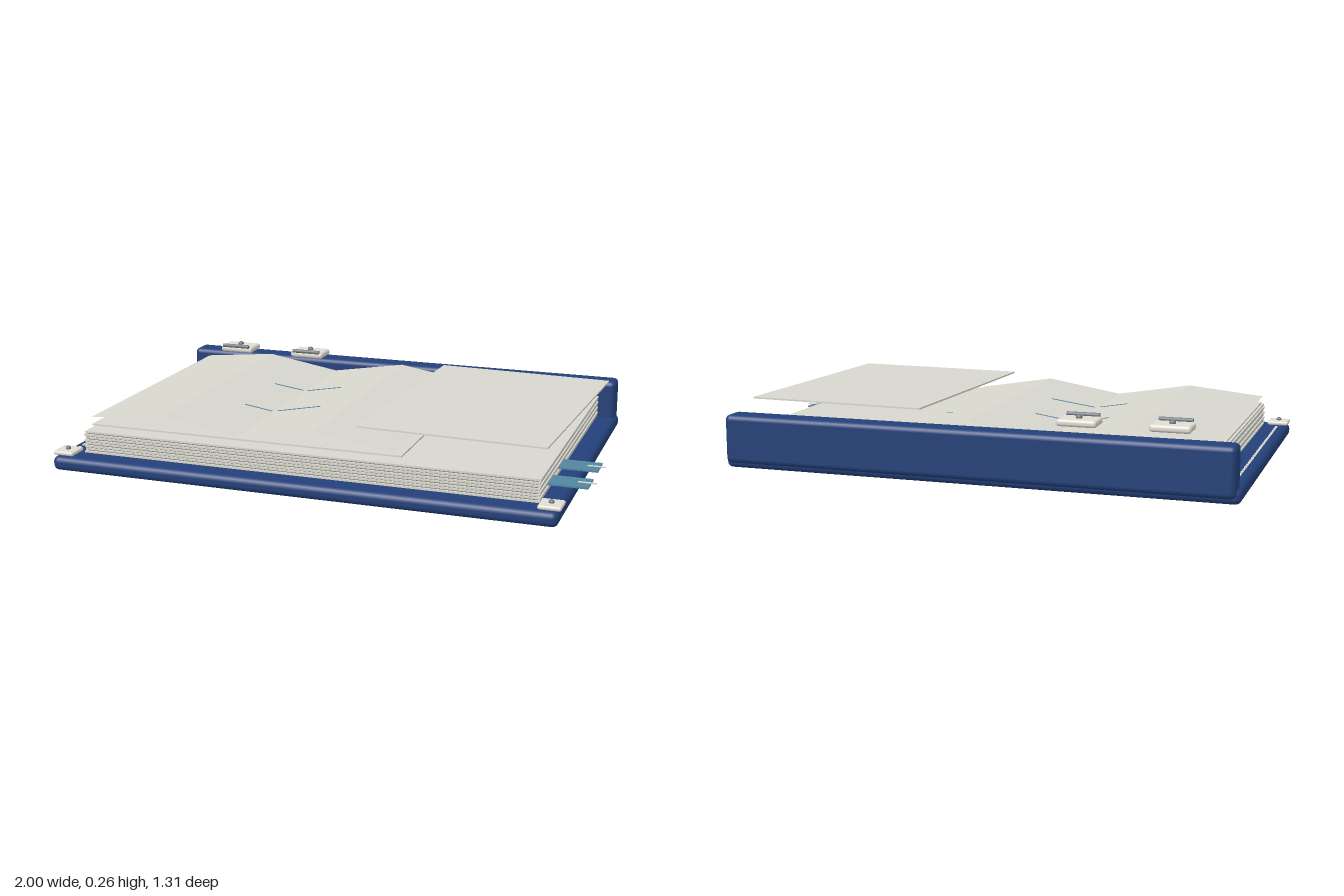
import * as THREE from 'three';
import { RoundedBoxGeometry } from 'three/addons/geometries/RoundedBoxGeometry.js';

const mat = (name, color, side = THREE.FrontSide) => {
  const m = new THREE.MeshStandardMaterial({ color, side });
  m.name = name;
  return m;
};

export function createModel() {
  const navy = mat('navy cover', 0x234079);
  const paper = mat('paper', 0xd8d7ce);
  const sheetPaper = mat('sheet paper', 0xd8d7ce, THREE.DoubleSide);
  const shade = mat('page gap grey', 0x77756f);
  const metal = mat('pale metal', 0xe0ddd2);
  const steel = mat('dark steel', 0x707a80);
  const blue = mat('tab blue', 0x5286a2);

  const model = new THREE.Group();
  const add = (name, geometry, material, x, y, z, parent = model) => {
    const mesh = new THREE.Mesh(geometry, material);
    mesh.name = name;
    mesh.position.set(x, y, z);
    parent.add(mesh);
    return mesh;
  };
  const box = (w, h, d) => new THREE.BoxGeometry(w, h, d);
  const round = (w, h, d, r) => new RoundedBoxGeometry(w, h, d, 3, r);

  // Cover board and raised spine along the back
  add('coverBoard', round(1.91, 0.054, 1.285, 0.022), navy, -0.042, 0.027, 0.01);
  add('spine', round(1.885, 0.18, 0.098, 0.02), navy, -0.04, 0.112, -0.605);

  // Stack of pages with recessed gaps
  const pages = new THREE.Group();
  pages.name = 'pageStack';
  model.add(pages);
  add('pageGaps', box(1.72, 0.08, 1.115), shade, -0.033, 0.094, 0.008, pages);
  for (let i = 0; i < 8; i++) {
    const shift = i % 2 ? 0.003 : 0;
    add('page', box(1.735, 0.007, 1.13), paper, -0.033 + shift, 0.0605 + i * 0.0109, 0.008 - shift, pages);
  }

  // Flat sheet under the folded one
  add('flatSheet', box(1.225, 0.006, 1.055), paper, -0.282, 0.152, -0.008);

  // Folded sheet: a zigzag profile swept along z
  const folds = [[-0.9, 0.18], [-0.6, 0.21], [-0.3, 0.16], [0, 0.21], [0.3, 0.16]];
  const foldGeo = new THREE.PlaneGeometry(1.2, 1.05, 4, 1).rotateX(-Math.PI / 2).toNonIndexed();
  const p = foldGeo.attributes.position;
  for (let i = 0; i < p.count; i++) {
    const k = Math.round((p.getX(i) + 0.6) / 0.3);
    p.setXYZ(i, folds[k][0], folds[k][1], p.getZ(i) - 0.01);
  }
  foldGeo.computeVertexNormals();
  add('foldedSheet', foldGeo, sheetPaper, 0, 0, 0);

  // Thin ink strokes lying on the folds
  const heightAt = (x) => {
    const k = Math.min(3, Math.floor((x + 0.9) / 0.3));
    const [a, b] = [folds[k], folds[k + 1]];
    return a[1] + (b[1] - a[1]) * (x - a[0]) / 0.3;
  };
  const strokes = [[-0.43, -0.16, -0.31, -0.17], [-0.29, -0.17, -0.15, -0.18],
    [-0.42, 0.165, -0.31, 0.16], [-0.29, 0.15, -0.12, 0.13], [0.155, -0.26, 0.18, -0.245]];
  for (const [x1, z1, x2, z2] of strokes) {
    const a = new THREE.Vector3(x1, heightAt(x1) + 0.001, z1);
    const b = new THREE.Vector3(x2, heightAt(x2) + 0.001, z2);
    const s = add('inkStroke', box(0.005, 0.002, a.distanceTo(b)), blue, 0, 0, 0);
    s.position.copy(a).lerp(b, 0.5);
    s.lookAt(b);
  }

  // Loose sheet lying askew above the stack
  add('looseSheet', box(0.695, 0.006, 0.965), paper, 0.522, 0.234, 0.018).rotation.y = -0.05;

  // Two clips at the back edge
  for (const x of [-0.743, -0.415]) {
    const clip = new THREE.Group();
    clip.name = 'clip';
    clip.position.set(x, 0.232, -0.525);
    model.add(clip);
    add('clipPlate', round(0.145, 0.026, 0.102, 0.011), metal, 0, 0, 0, clip);
    add('clipBar', new THREE.CylinderGeometry(0.008, 0.008, 0.12, 12).rotateZ(Math.PI / 2), steel, 0, 0.016, 0.052, clip);
    add('clipRivet', new THREE.SphereGeometry(0.012, 16, 10), steel, 0, 0.015, -0.003, clip);
  }

  // Corner guards on the front corners
  for (const x of [-0.958, 0.88]) {
    add('cornerGuard', round(0.082, 0.016, 0.085, 0.007), metal, x, 0.064, 0.595);
    add('cornerRivet', new THREE.SphereGeometry(0.01, 16, 10), steel, x, 0.074, 0.595);
  }

  // Index tabs with short threads
  for (const z of [0.23, 0.42]) {
    add('indexTab', box(0.14, 0.006, 0.1), blue, 0.91, 0.091, z);
    add('tabThread', box(0.065, 0.004, 0.007), metal, 0.9675, 0.095, z);
  }

  // Stitching down the left margin
  for (let i = 0; i < 27; i++) {
    add('stitch', box(0.009, 0.005, 0.023), metal, -0.957, 0.055, -0.52 + i * 0.04);
  }
  return model;
}
